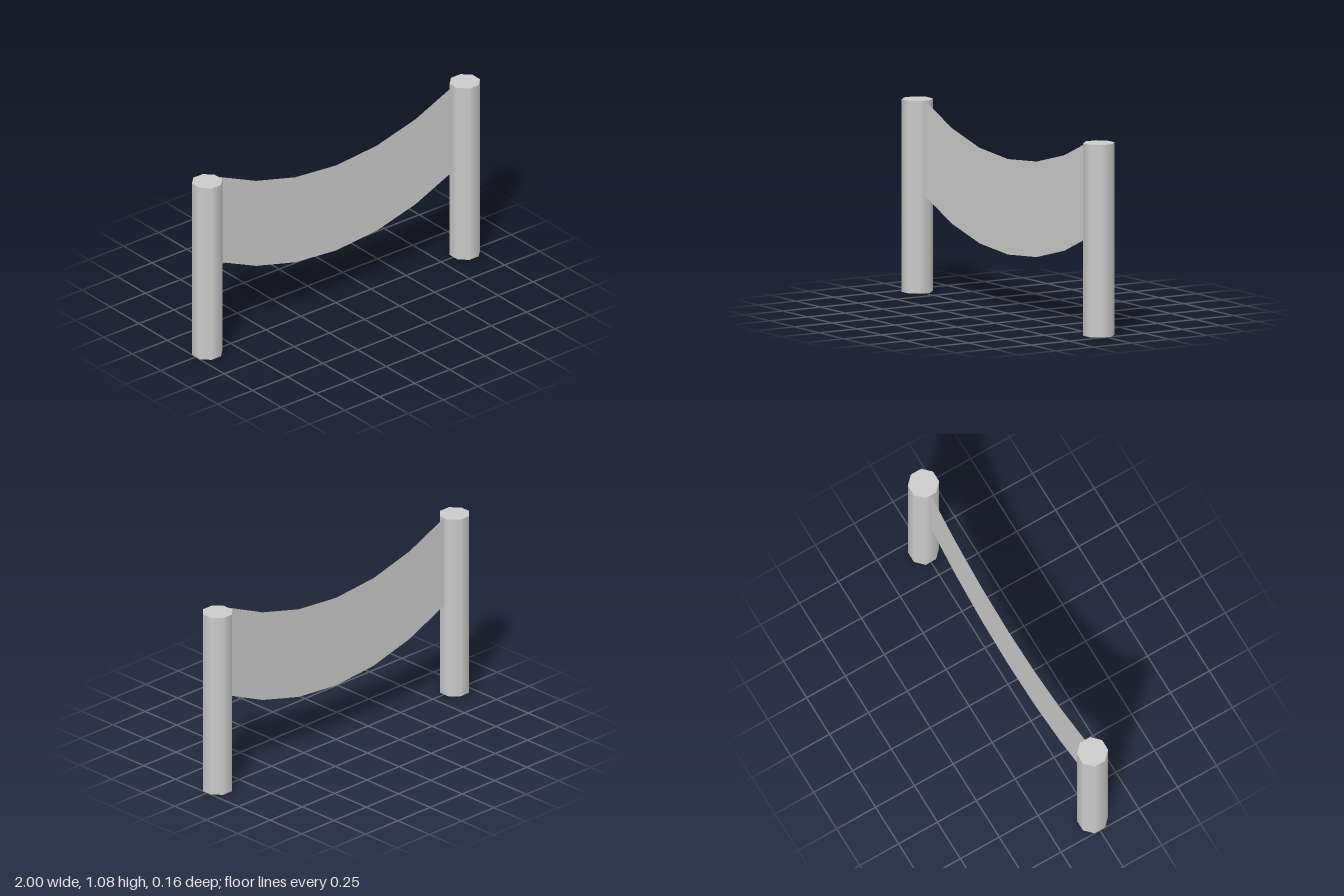
import * as THREE from 'three';

const POST_HEIGHT = 1.08;
const POST_HALF = 0.081; // distance from post axis to a flat side
const POST_X = 1 - POST_HALF;

// Octagonal post with flat sides facing the axes
function makePost(name, x, material) {
  const geometry = new THREE.CylinderGeometry(
    POST_HALF / Math.cos(Math.PI / 8), POST_HALF / Math.cos(Math.PI / 8), POST_HEIGHT, 8);
  geometry.rotateY(Math.PI / 8);
  const post = new THREE.Mesh(geometry, material);
  post.name = name;
  post.position.set(x, POST_HEIGHT / 2, 0);
  return post;
}

// Thin sagging sheet hung between the inner faces of the posts
function makeSheet() {
  // Half of the upper edge, from the middle outwards; the lower edge runs parallel
  const half = [[0, 0.865], [0.29, 0.89], [0.57, 0.963], [POST_X - POST_HALF, POST_HEIGHT]];
  const drop = 0.536;
  const edge = [...half.slice(1).reverse().map(([x, y]) => [-x, y]), ...half];

  const geometry = new THREE.PlaneGeometry(2, 1, edge.length - 1, 1);
  const position = geometry.attributes.position;
  for (let i = 0; i < position.count; i++) {
    const [x, y] = edge[i % edge.length];
    position.setXYZ(i, x, i < edge.length ? y : y - drop, 0);
  }
  geometry.computeVertexNormals();

  const material = new THREE.MeshStandardMaterial({ color: 0xcccccc, side: THREE.DoubleSide });
  const sheet = new THREE.Mesh(geometry, material);
  sheet.name = 'hangingSheet';
  return sheet;
}

export function createModel() {
  const model = new THREE.Group();
  model.name = 'sheetBetweenPosts';
  const material = new THREE.MeshStandardMaterial({ color: 0xcccccc });
  model.add(
    makePost('leftPost', POST_X, material),
    makePost('rightPost', -POST_X, material),
    makeSheet(),
  );
  return model;
}
